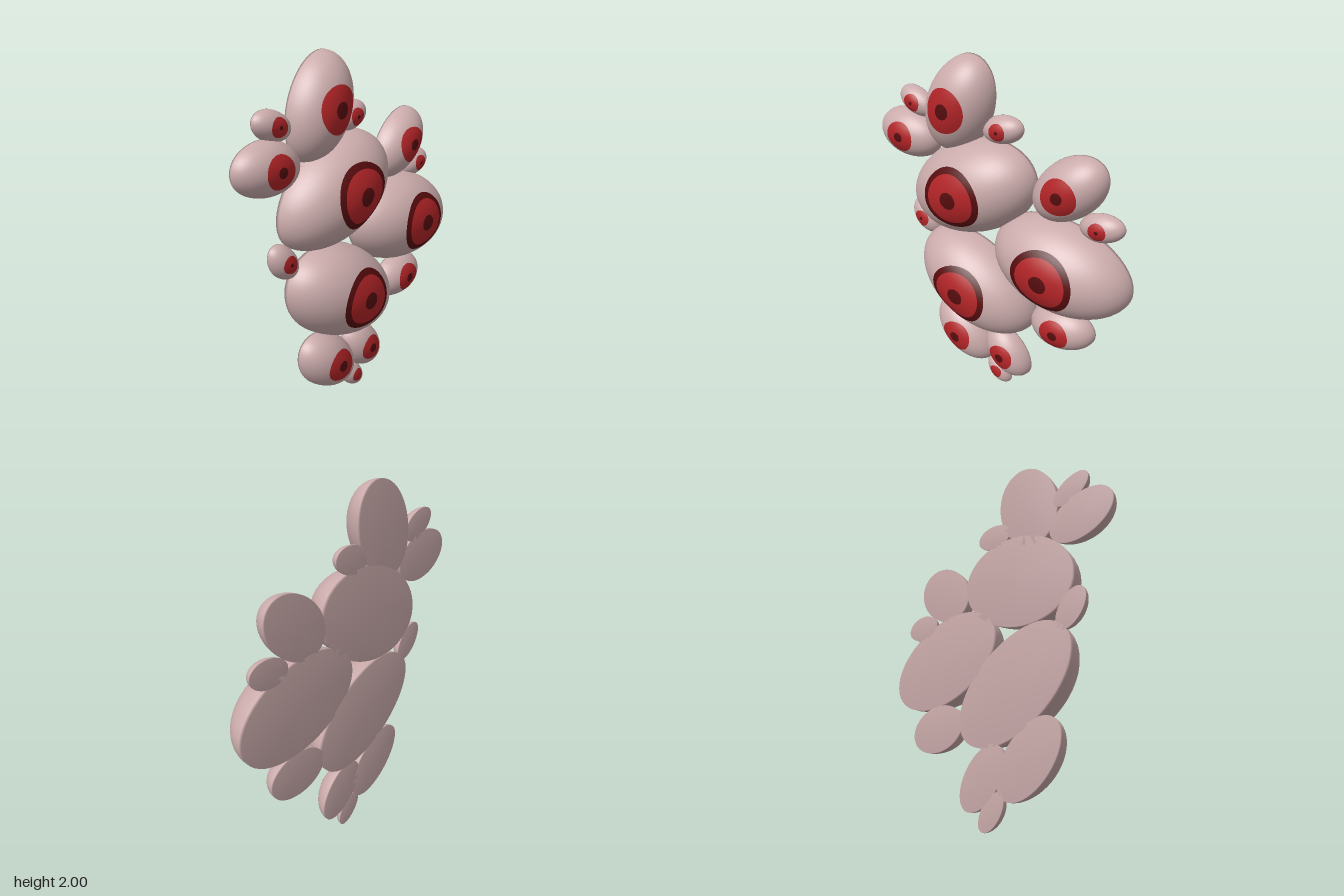
import * as THREE from 'three';

const skin = new THREE.MeshStandardMaterial({ color: 0xcbabab, name: 'paleFlesh' });
const red = new THREE.MeshStandardMaterial({ color: 0xb22427, name: 'irisRed' });
const dark = new THREE.MeshStandardMaterial({ color: 0x560c0e, name: 'darkRed' });

const BACK = -0.135; // plane of the flat backs
const SEG = 48;

// [name, z, y, long radius, short radius, tilt in degrees, depth, eye, iris, pupil]
const LOBES = [
  ['upperBigLobe', 0.157, 1.298, 0.405, 0.26, 24, 0.27, 0.172, 0.14, 0.048],
  ['rearBigLobe', -0.405, 0.997, 0.405, 0.26, -8, 0.27, 0.172, 0.14, 0.048],
  ['lowerBigLobe', 0.127, 0.71, 0.405, 0.26, -26, 0.27, 0.172, 0.14, 0.048],
  ['topLobe', 0.247, 1.735, 0.28, 0.19, 65, 0.187, 0.116, 0.116, 0.04],
  ['rearTopLobe', -0.42, 1.433, 0.235, 0.152, 41, 0.155, 0.098, 0.098, 0.032],
  ['bottomLobe', 0.228, 0.31, 0.235, 0.152, -40, 0.155, 0.095, 0.095, 0.032],
  ['frontLobe', 0.605, 1.502, 0.205, 0.137, -5, 0.135, 0.085, 0.085, 0.027],
  ['rearLowerLobe', -0.432, 0.604, 0.197, 0.132, 5, 0.135, 0.085, 0.085, 0.027],
  ['bottomRearLobe', -0.08, 0.273, 0.183, 0.125, -48, 0.125, 0.077, 0.077, 0.027],
  ['frontTopBud', 0.55, 1.691, 0.122, 0.075, -20, 0.077, 0.049, 0.049, 0.01],
  ['rearTopBud', -0.012, 1.648, 0.125, 0.075, 15, 0.077, 0.047, 0.047, 0.01],
  ['rearBud', -0.608, 1.275, 0.125, 0.077, 12, 0.077, 0.047, 0.047, 0.01],
  ['frontBud', 0.518, 1.002, 0.118, 0.078, -50, 0.077, 0.047, 0.047, 0.01],
  ['bottomBud', -0.012, 0.096, 0.105, 0.066, -50, 0.066, 0.04, 0.04, 0],
];

// Half ellipsoid with concentric eye bands on its crown and a flat back
function lobeGeometry(a, b, tilt, depth, eye, iris, pupil) {
  const pos = [], index = [], rings = [];
  const ct = Math.cos(tilt), st = Math.sin(tilt);
  const add = (u, v, w) => pos.push(w, u * st + v * ct, -(u * ct - v * st));

  // Rings from the crown to the rim: t = 0 is the round eye edge, t = 1 the oval rim
  const band = (r0, r1, steps, material) => {
    for (let i = 1; i <= steps; i++) rings.push({ r: r0 + (r1 - r0) * i / steps, t: 0, material });
  };
  if (pupil > 0) band(0, pupil, 2, 2);
  band(pupil, iris, 4, 1);
  if (eye > iris) band(iris, eye, 2, 2);
  for (let i = 1; i <= 16; i++) rings.push({ r: eye, t: Math.sin(i / 16 * Math.PI / 2), material: 0 });

  add(0, 0, depth);
  for (const { r, t } of rings) {
    for (let j = 0; j < SEG; j++) {
      const c = Math.cos(j / SEG * Math.PI * 2), s = Math.sin(j / SEG * Math.PI * 2);
      const u = THREE.MathUtils.lerp(r * 1.04, a, t) * c;
      const v = THREE.MathUtils.lerp(r * 0.98, b, t) * s;
      const w = t === 1 ? 0 : depth * Math.sqrt(Math.max(0, 1 - (u / a) ** 2 - (v / b) ** 2));
      add(u, v, w);
    }
  }
  add(0, 0, 0);

  const geometry = new THREE.BufferGeometry();
  const at = (ring, j) => 1 + ring * SEG + (j % SEG);
  rings.forEach(({ material }, k) => {
    const start = index.length;
    for (let j = 0; j < SEG; j++) {
      if (k === 0) index.push(0, at(0, j), at(0, j + 1));
      else index.push(at(k - 1, j), at(k, j), at(k, j + 1), at(k - 1, j), at(k, j + 1), at(k - 1, j + 1));
    }
    geometry.addGroup(start, index.length - start, material);
  });

  // Flat back
  const start = index.length, last = rings.length - 1, centre = pos.length / 3 - 1;
  for (let j = 0; j < SEG; j++) index.push(centre, at(last, j + 1), at(last, j));
  geometry.addGroup(start, index.length - start, 0);

  geometry.setAttribute('position', new THREE.Float32BufferAttribute(pos, 3));
  geometry.setIndex(index);
  geometry.computeVertexNormals();
  return geometry;
}

export function createModel() {
  const model = new THREE.Group();
  model.name = 'eyeCluster';
  for (const [name, z, y, a, b, tilt, depth, eye, iris, pupil] of LOBES) {
    const geometry = lobeGeometry(a, b, THREE.MathUtils.degToRad(tilt), depth, eye, iris, pupil);
    const lobe = new THREE.Mesh(geometry, [skin, red, dark]);
    lobe.name = name;
    lobe.position.set(BACK, y, z);
    model.add(lobe);
  }
  return model;
}
